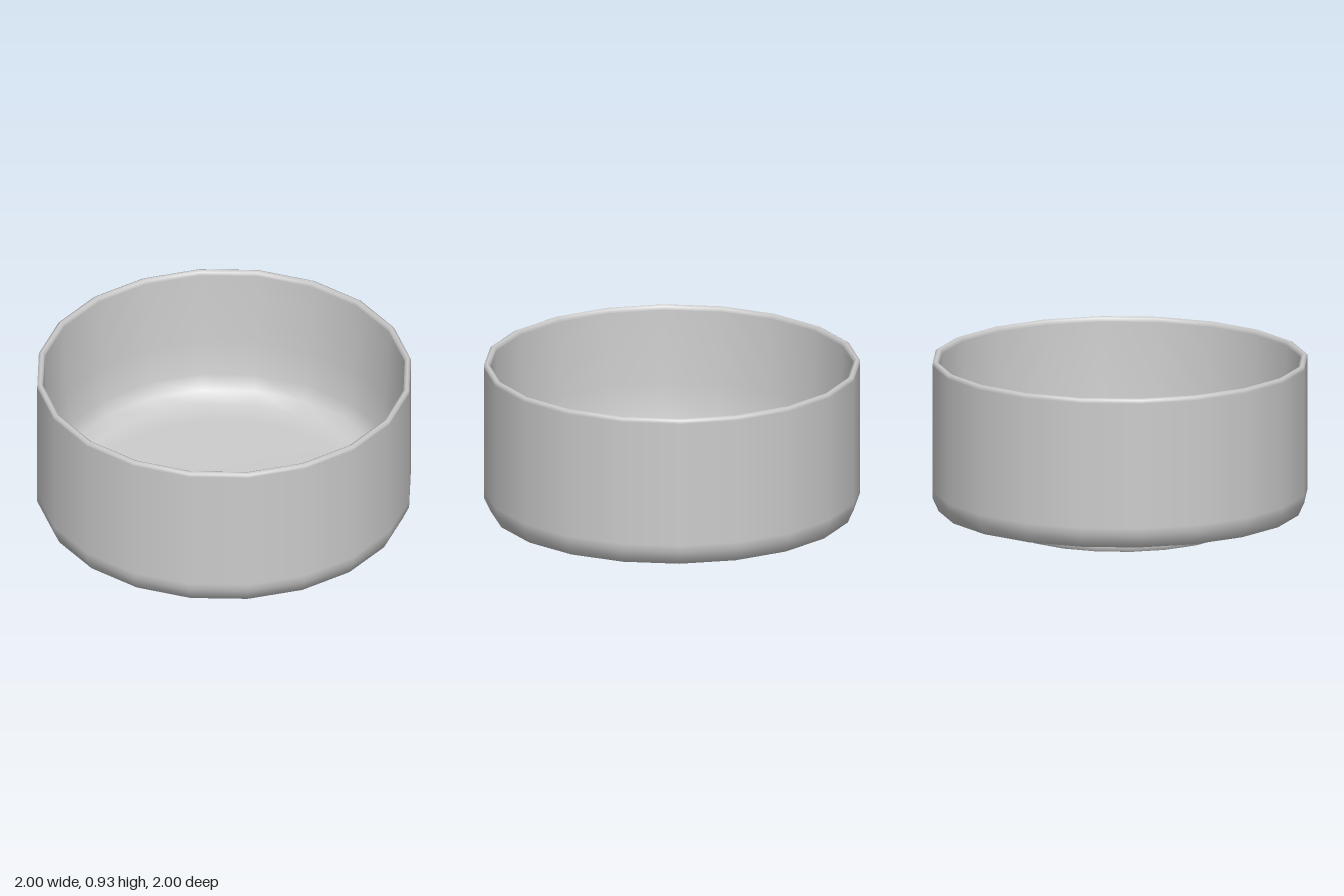
import * as THREE from 'three';

const SIDES = 20;

export function createModel() {
  const group = new THREE.Group();
  const material = new THREE.MeshStandardMaterial({ color: 0xcccccc });

  // Each profile is a list of [radius, height], turned around the y axis.
  const turn = (name, profile) => {
    const points = profile.map(([r, y]) => new THREE.Vector2(r, y));
    const mesh = new THREE.Mesh(new THREE.LatheGeometry(points, SIDES), material);
    mesh.name = name;
    group.add(mesh);
  };

  // Flat underside running smoothly into the rounded foot ring
  turn('foot', [[0, 0], [0.59, 0], [0.605, 0.004], [0.612, 0.035], [0.6, 0.06], [0.595, 0.07]]);

  // Shallow sloping underside, soft corner, straight wall and rounded lip
  turn('outerWall', [
    [0.595, 0.07], [0.9, 0.102], [0.968, 0.11], [1, 0.18], [1, 0.22],
    [1, 0.9], [1, 0.918], [0.985, 0.925], [0.97, 0.918], [0.968, 0.9],
  ]);

  // Inside wall easing through a wide curve into the floor
  turn('innerWall', [
    [0.968, 0.9], [0.95, 0.5], [0.925, 0.3], [0.89, 0.22], [0.82, 0.175], [0.7, 0.155], [0, 0.15],
  ]);

  return group;
}
